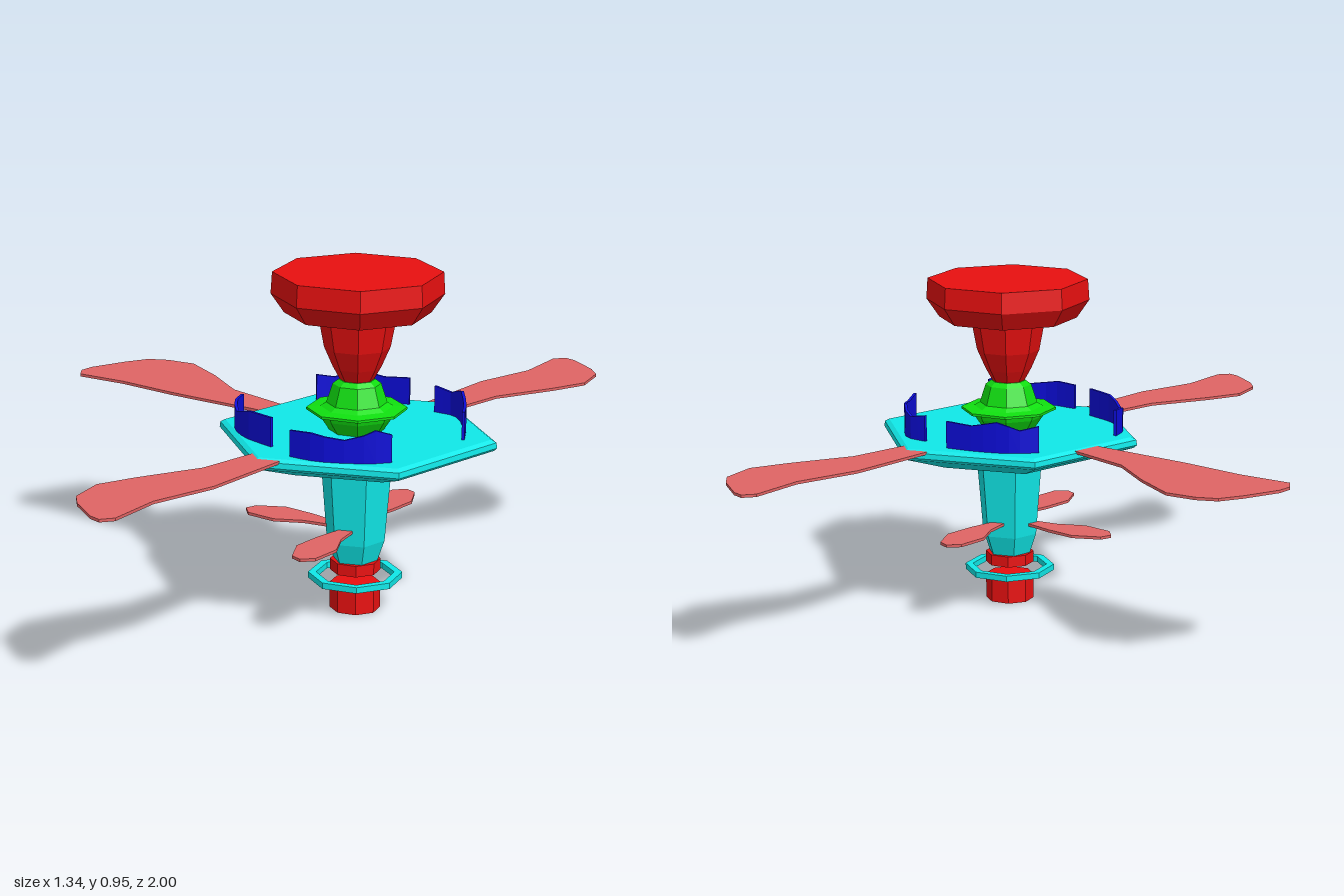
import * as THREE from 'three';

const AXIS_X = 0.33;
const paint = (color) => new THREE.MeshStandardMaterial({ color, flatShading: true });

// Faceted turned part; profile of [radius, height] from bottom to top
function turned(name, profile, sides, material) {
  const geo = new THREE.LatheGeometry(profile.map(([r, y]) => new THREE.Vector2(r, y)), sides);
  const mesh = new THREE.Mesh(geo, material);
  mesh.name = name;
  return mesh;
}

// Flat blade reaching towards +z, outline of [sideways, outward], turned about the axis
function blade(name, outline, top, thickness, angle, material) {
  const shape = new THREE.Shape(outline.map(([v, u]) => new THREE.Vector2(v, u)));
  const geo = new THREE.ExtrudeGeometry(shape, { depth: thickness, bevelEnabled: false });
  geo.rotateX(Math.PI / 2);
  const mesh = new THREE.Mesh(geo, material);
  mesh.name = name;
  mesh.position.y = top;
  mesh.rotation.y = angle;
  return mesh;
}

// Upright curved wall following [x, z] points, with a wavy top edge
function wall(name, path, heights, base, material) {
  const curve = new THREE.CatmullRomCurve3(path.map(([x, z]) => new THREE.Vector3(x, 0, z)));
  const n = 8, half = 0.004, pos = [], index = [];
  for (let i = 0; i <= n; i++) {
    const t = i / n, p = curve.getPoint(t), d = curve.getTangent(t);
    const f = t * (heights.length - 1), k = Math.min(Math.floor(f), heights.length - 2);
    const top = THREE.MathUtils.lerp(heights[k], heights[k + 1], f - k);
    const nx = -d.z * half, nz = d.x * half;
    pos.push(p.x + nx, base, p.z + nz, p.x + nx, top, p.z + nz);
    pos.push(p.x - nx, top, p.z - nz, p.x - nx, base, p.z - nz);
    if (i === 0) continue;
    for (let j = 0; j < 4; j++) {
      const a = (i - 1) * 4 + j, b = (i - 1) * 4 + ((j + 1) % 4);
      index.push(a, a + 4, b, b, a + 4, b + 4);
    }
  }
  const e = n * 4;
  index.push(0, 1, 2, 0, 2, 3, e, e + 2, e + 1, e, e + 3, e + 2);
  const geo = new THREE.BufferGeometry();
  geo.setAttribute('position', new THREE.Float32BufferAttribute(pos, 3));
  geo.setIndex(index);
  geo.computeVertexNormals();
  const mesh = new THREE.Mesh(geo, material);
  mesh.name = name;
  return mesh;
}

export function createModel() {
  const red = paint(0xe81010), cyan = paint(0x10e8e8), green = paint(0x10e010);
  const blue = paint(0x0c0cd8), pink = paint(0xe06464);
  blue.side = THREE.DoubleSide;

  const model = new THREE.Group();
  model.name = 'tower';
  const body = new THREE.Group();
  body.name = 'body';
  body.position.x = AXIS_X;
  model.add(body);

  // Foot, collar and the loose ring between them
  body.add(
    turned('foot', [[0, 0], [0.07, 0], [0.07, 0.073], [0, 0.073]], 8, red),
    turned('collar', [[0, 0.11], [0.07, 0.11], [0.07, 0.142], [0, 0.142]], 8, red),
    turned('ring', [[0.108, 0.085], [0.13, 0.085], [0.13, 0.102], [0.108, 0.102], [0.108, 0.085]], 8, cyan),
  );

  // Six-sided shaft flaring into the deck
  body.add(turned('shaftAndDeck', [
    [0, 0.14], [0.062, 0.14], [0.082, 0.2], [0.1, 0.42], [0.24, 0.435],
    [0.38, 0.482], [0.388, 0.49], [0.386, 0.505], [0.372, 0.513], [0, 0.513],
  ], 6, cyan));

  // Neck with a thin flange
  body.add(turned('neck', [
    [0, 0.513], [0.075, 0.513], [0.1, 0.55], [0.106, 0.567], [0.137, 0.569], [0.137, 0.576],
    [0.1, 0.58], [0.083, 0.59], [0.066, 0.643], [0.05, 0.655], [0, 0.655],
  ], 8, green));

  // Stem and head
  body.add(
    turned('stem', [[0, 0.652], [0.045, 0.652], [0.066, 0.69], [0.09, 0.745], [0.108, 0.84], [0, 0.84]], 8, red),
    turned('head', [[0, 0.84], [0.198, 0.84], [0.234, 0.892], [0.23, 0.952], [0, 0.952]], 8, red),
  );

  // Wavy walls around the deck
  const backHeights = [0.588, 0.578, 0.6, 0.585, 0.59];
  const walls = [
    ['backRightWall', [[0.05, -0.13], [0.09, -0.19], [0.17, -0.245], [0.265, -0.285]], backHeights],
    ['backLeftWall', [[0.365, -0.28], [0.435, -0.287], [0.53, -0.215], [0.6, -0.13]], backHeights],
    ['frontRightWall', [[0.05, 0.16], [0.08, 0.215], [0.165, 0.265], [0.285, 0.28]], [0.588, 0.586, 0.57, 0.592, 0.594]],
    ['frontLeftWall', [[0.38, 0.305], [0.465, 0.285], [0.57, 0.205], [0.603, 0.155]], [0.585, 0.588, 0.575, 0.602, 0.588]],
  ];
  for (const [name, path, heights] of walls) model.add(wall(name, path, heights, 0.51, blue));

  // Large blades at deck level
  const large = [
    [-0.045, 0.33], [-0.045, 0.53], [-0.105, 0.71], [-0.132, 0.82], [-0.095, 0.92], [-0.05, 0.955],
    [0.05, 0.998], [0.085, 1], [0.105, 0.965], [0.072, 0.81], [0.09, 0.62], [0.055, 0.35],
  ];
  const wide = [
    [-0.035, 0.3], [-0.048, 0.53], [-0.115, 0.68], [-0.16, 0.82], [-0.135, 0.905], [-0.1, 0.955],
    [-0.03, 0.98], [0.08, 1.005], [0.125, 1], [0.155, 0.97], [0.12, 0.82], [0.1, 0.63], [0.045, 0.3],
  ];
  // Small hooked blades on the shaft
  const small = [
    [0.01, 0.06], [0.01, 0.16], [0.02, 0.25], [0.07, 0.318], [0.105, 0.324],
    [0.13, 0.29], [0.12, 0.2], [0.07, 0.13], [0.045, 0.06],
  ];
  const places = [['front', 0], ['back', Math.PI], ['right', -Math.PI / 2]];
  for (const [side, angle] of places) {
    const isRight = side === 'right';
    body.add(
      blade(side + 'LargeBlade', isRight ? wide : large, 0.51, 0.008, angle, pink),
      blade(side + 'SmallBlade', small, isRight ? 0.237 : 0.245, 0.008, angle, pink),
    );
  }
  return model;
}
